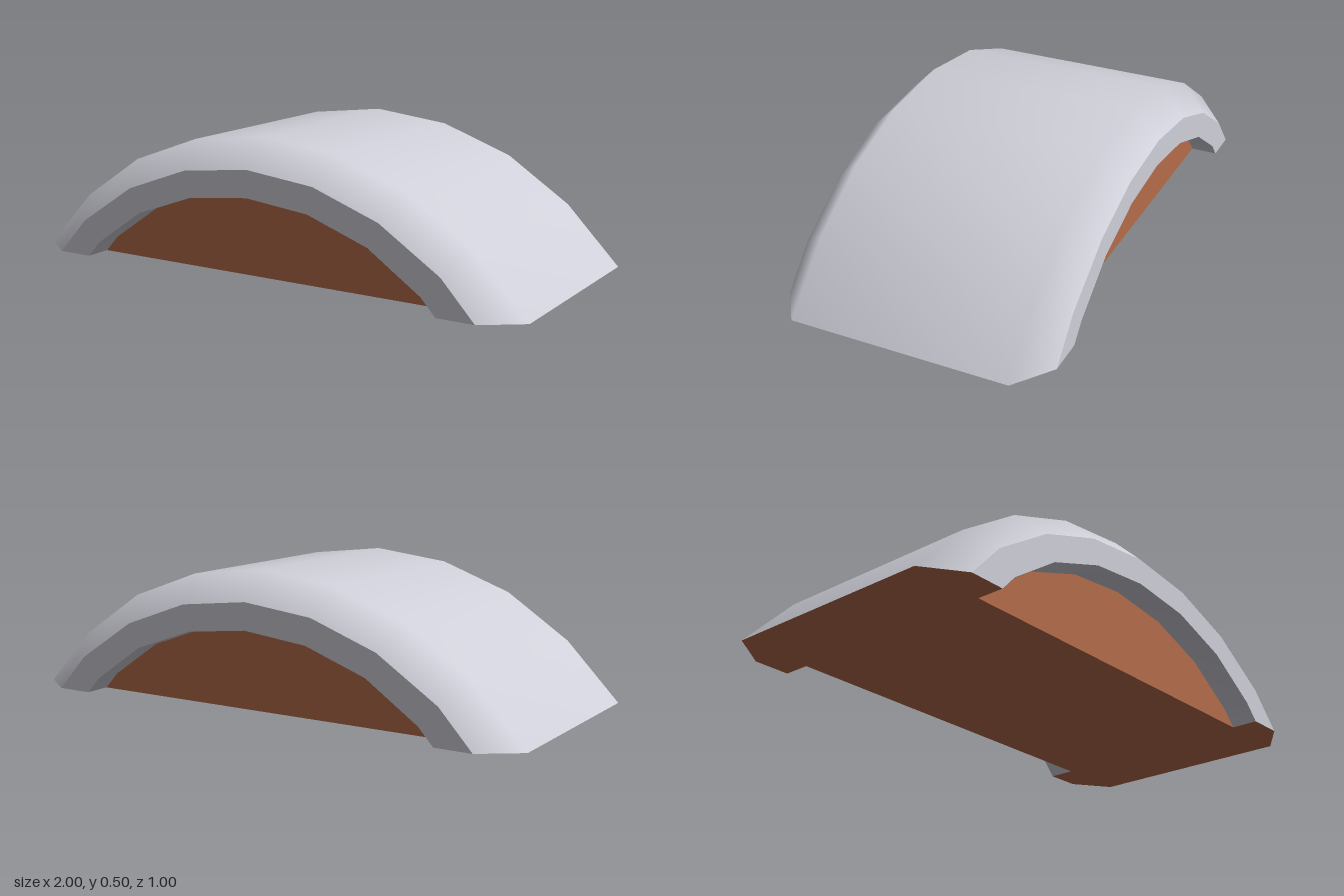
import * as THREE from 'three';

// Half arches from the +x foot to the crown, mirrored to the other foot
const mirrorArc = (half) => [...half, ...half.slice(0, -1).reverse().map(([x, y]) => [-x, y])];
const outer = mirrorArc([[1, 0], [0.8, 0.208], [0.56, 0.368], [0.29, 0.466], [0, 0.5]]);
const middle = mirrorArc([[0.862, 0], [0.74, 0.133], [0.515, 0.28], [0.265, 0.37], [0, 0.4]]);
const inner = mirrorArc([[0.725, 0], [0.67, 0.06], [0.475, 0.193], [0.245, 0.275], [0, 0.302]]);

// Smooth surface through successive arches, each given as [arc, z]
function loft(rows) {
  const positions = rows.flatMap(([arc, z]) => arc.flatMap(([x, y]) => [x, y, z]));
  const n = rows[0][0].length;
  const index = [];
  for (let r = 0; r < rows.length - 1; r++) {
    for (let i = 0; i < n - 1; i++) {
      const a = r * n + i, b = a + 1, c = a + n, d = c + 1;
      index.push(a, c, b, b, c, d);
    }
  }
  const geometry = new THREE.BufferGeometry();
  geometry.setAttribute('position', new THREE.Float32BufferAttribute(positions, 3));
  geometry.setIndex(index);
  geometry.computeVertexNormals();
  return geometry;
}

const flatShape = (points) =>
  new THREE.ShapeGeometry(new THREE.Shape(points.map(([x, y]) => new THREE.Vector2(x, y))));

export function createModel() {
  const model = new THREE.Group();
  model.name = 'archedBlock';
  const grey = new THREE.MeshStandardMaterial({ color: 0xcfcfd9 });
  grey.name = 'pale grey';
  const clay = new THREE.MeshStandardMaterial({ color: 0xb46c4a });
  clay.name = 'clay brown';

  const add = (name, geometry, material) => {
    const mesh = new THREE.Mesh(geometry, material);
    mesh.name = name;
    model.add(mesh);
    return mesh;
  };

  // Curved shell with bevelled ends
  add('shell', loft([[middle, 0.5], [outer, 0.4], [outer, -0.4], [middle, -0.5]]), grey);

  // Flat end rims and the short soffits behind them
  add('frontRim', loft([[inner, 0.5], [middle, 0.5]]), grey);
  add('backRim', loft([[middle, -0.5], [inner, -0.5]]), grey);
  add('frontSoffit', loft([[inner, 0.4], [inner, 0.5]]), grey);
  add('backSoffit', loft([[inner, -0.5], [inner, -0.4]]), grey);

  // Recessed end panels
  add('frontPanel', flatShape(inner).translate(0, 0, 0.4), clay);
  add('backPanel', flatShape(inner).translate(0, 0, 0.4).rotateY(Math.PI), clay);

  // Underside, notched at both ends
  const corner = [[1, 0.4], [0.862, 0.5], [0.725, 0.5], [0.725, 0.4]];
  const half = [...corner, ...corner.slice().reverse().map(([x, z]) => [-x, z])];
  const outline = [...half, ...half.map(([x, z]) => [-x, -z])];
  add('underside', flatShape(outline).rotateX(Math.PI / 2), clay);

  return model;
}
